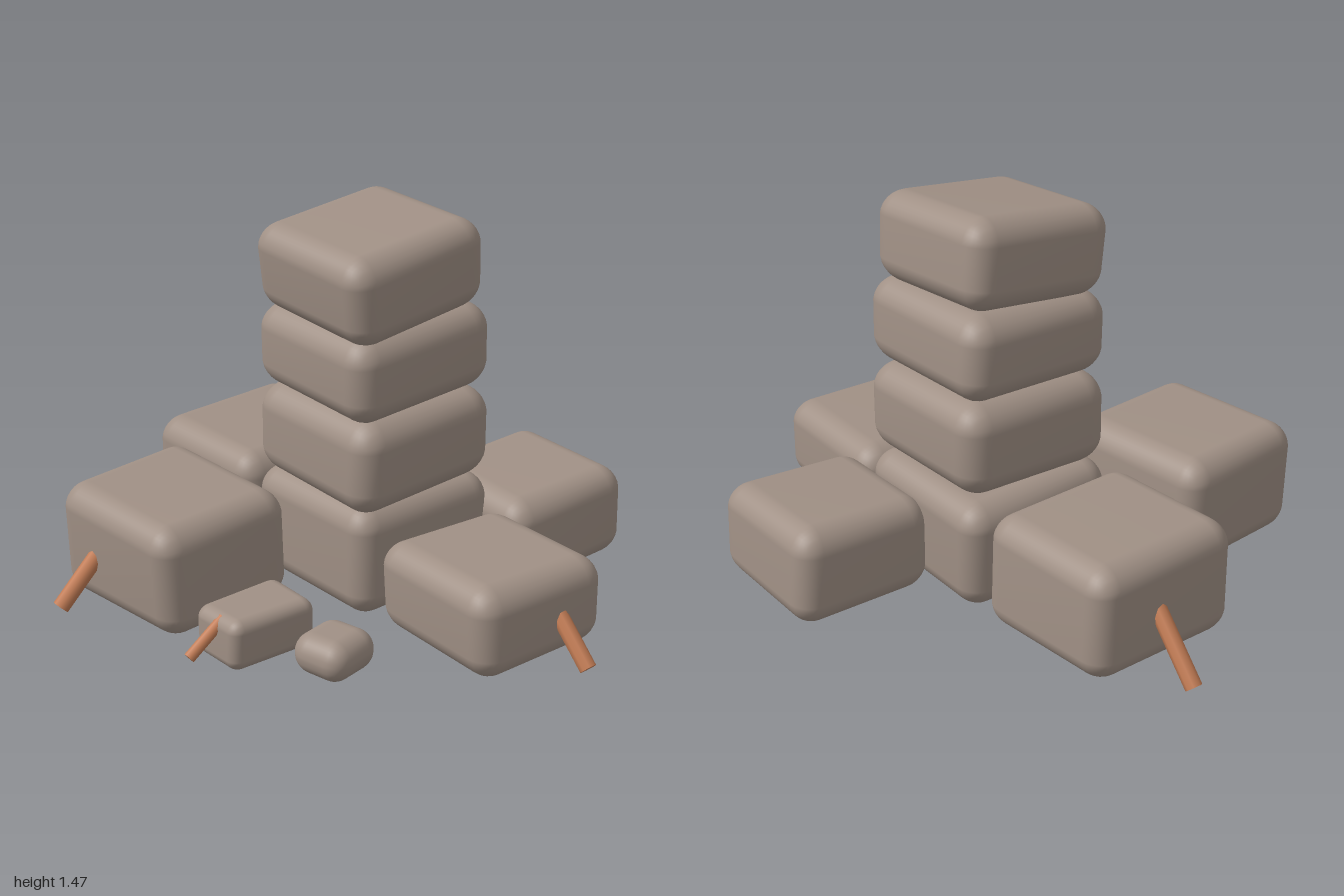
import * as THREE from 'three';
import { mergeVertices } from 'three/addons/utils/BufferGeometryUtils.js';
import { RoundedBoxGeometry } from 'three/addons/geometries/RoundedBoxGeometry.js';

const stone = new THREE.MeshStandardMaterial({ color: 0xa09085 });
stone.name = 'stone';
const wood = new THREE.MeshStandardMaterial({ color: 0xc47d55 });
wood.name = 'wood';

// Small seeded random source for the unevenness of the stones
function seeded(seed) {
  let s = seed * 7919 + 13;
  return () => {
    s = (s * 16807) % 2147483647;
    return s / 2147483647;
  };
}

// Worn stone: a rounded box, narrower at top and bottom, with its corners slightly shifted
function stoneGeometry(w, h, d, r, seed) {
  const rand = seeded(seed);
  for (let i = 0; i < 5; i++) rand();
  const amount = 0.03 * Math.min(w, h, d);
  const corners = Array.from({ length: 8 }, () =>
    new THREE.Vector3(rand() - 0.5, rand() - 0.5, rand() - 0.5).multiplyScalar(2 * amount));

  let geo = new RoundedBoxGeometry(w, h, d, 4, r);
  geo.deleteAttribute('normal');
  geo.deleteAttribute('uv');
  geo = mergeVertices(geo, 1e-4);

  const pos = geo.attributes.position;
  const p = new THREE.Vector3();
  for (let i = 0; i < pos.count; i++) {
    p.fromBufferAttribute(pos, i);
    const u = p.x / w + 0.5, v = p.y / h + 0.5, t = p.z / d + 0.5;
    const taper = 1 - 0.05 * (2 * v - 1) ** 2;
    p.x *= taper;
    p.z *= taper;
    corners.forEach((c, k) => {
      const weight = (k & 1 ? u : 1 - u) * (k & 2 ? v : 1 - v) * (k & 4 ? t : 1 - t);
      p.addScaledVector(c, weight);
    });
    pos.setXYZ(i, p.x, p.y, p.z);
  }
  geo.computeVertexNormals();
  return geo;
}

// name, size, corner radius, centre, yaw in degrees, forward tilt
const STONES = [
  // central stack
  ['stackBase', [0.66, 0.42, 0.66], 0.09, [0.03, 0.23, -0.115], -32, 0.01],
  ['stackLower', [0.65, 0.36, 0.65], 0.1, [0.035, 0.615, -0.095], -32, 0.05],
  ['stackMiddle', [0.64, 0.325, 0.64], 0.095, [0.033, 0.95, -0.08], -32, 0.09],
  ['stackTop', [0.62, 0.335, 0.62], 0.09, [0.03, 1.262, -0.05], -32, 0.14],
  // four stones around it
  ['frontRightStone', [0.66, 0.43, 0.6], 0.09, [-0.6, 0.25, 0.318], -28, 0.04],
  ['backRightStone', [0.62, 0.44, 0.66], 0.09, [-0.544, 0.245, -0.445], -31, 0.06],
  ['backLeftStone', [0.59, 0.37, 0.58], 0.09, [0.517, 0.202, -0.475], -34, 0.06],
  ['frontLeftStone', [0.61, 0.34, 0.57], 0.09, [0.577, 0.188, 0.245], -35, 0.02],
  // loose rubble
  ['smallStone', [0.245, 0.195, 0.36], 0.045, [-0.18, 0.1, 0.595], -33, 0.03],
  ['pebble', [0.23, 0.15, 0.24], 0.07, [0.133, 0.08, 0.657], -20, 0],
];

// name, radius, buried end, free end
const STICKS = [
  ['frontRightStick', 0.031, [-0.8, 0.28, 0.48], [-0.92, 0.07, 0.635]],
  ['smallStick', 0.021, [-0.25, 0.175, 0.715], [-0.335, 0.062, 0.83]],
  ['frontLeftStick', 0.031, [0.8, 0.25, 0.32], [0.975, 0.035, 0.425]],
  ['backRightStick', 0.031, [-0.75, 0.28, -0.62], [-0.925, 0.05, -0.74]],
];

export function createModel() {
  const model = new THREE.Group();
  model.name = 'stonePile';

  STONES.forEach(([name, [w, h, d], r, centre, yaw, tilt], i) => {
    const mesh = new THREE.Mesh(stoneGeometry(w, h, d, r, i + 1), stone);
    mesh.name = name;
    mesh.position.set(...centre);
    mesh.rotation.set(tilt, THREE.MathUtils.degToRad(yaw), 0);
    model.add(mesh);
  });

  const up = new THREE.Vector3(0, 1, 0);
  STICKS.forEach(([name, radius, from, to]) => {
    const a = new THREE.Vector3(...from), b = new THREE.Vector3(...to);
    const dir = b.clone().sub(a);
    const mesh = new THREE.Mesh(new THREE.CylinderGeometry(radius, radius, dir.length(), 8), wood);
    mesh.name = name;
    mesh.position.copy(a).add(b).multiplyScalar(0.5);
    mesh.quaternion.setFromUnitVectors(up, dir.normalize());
    model.add(mesh);
  });

  return model;
}
